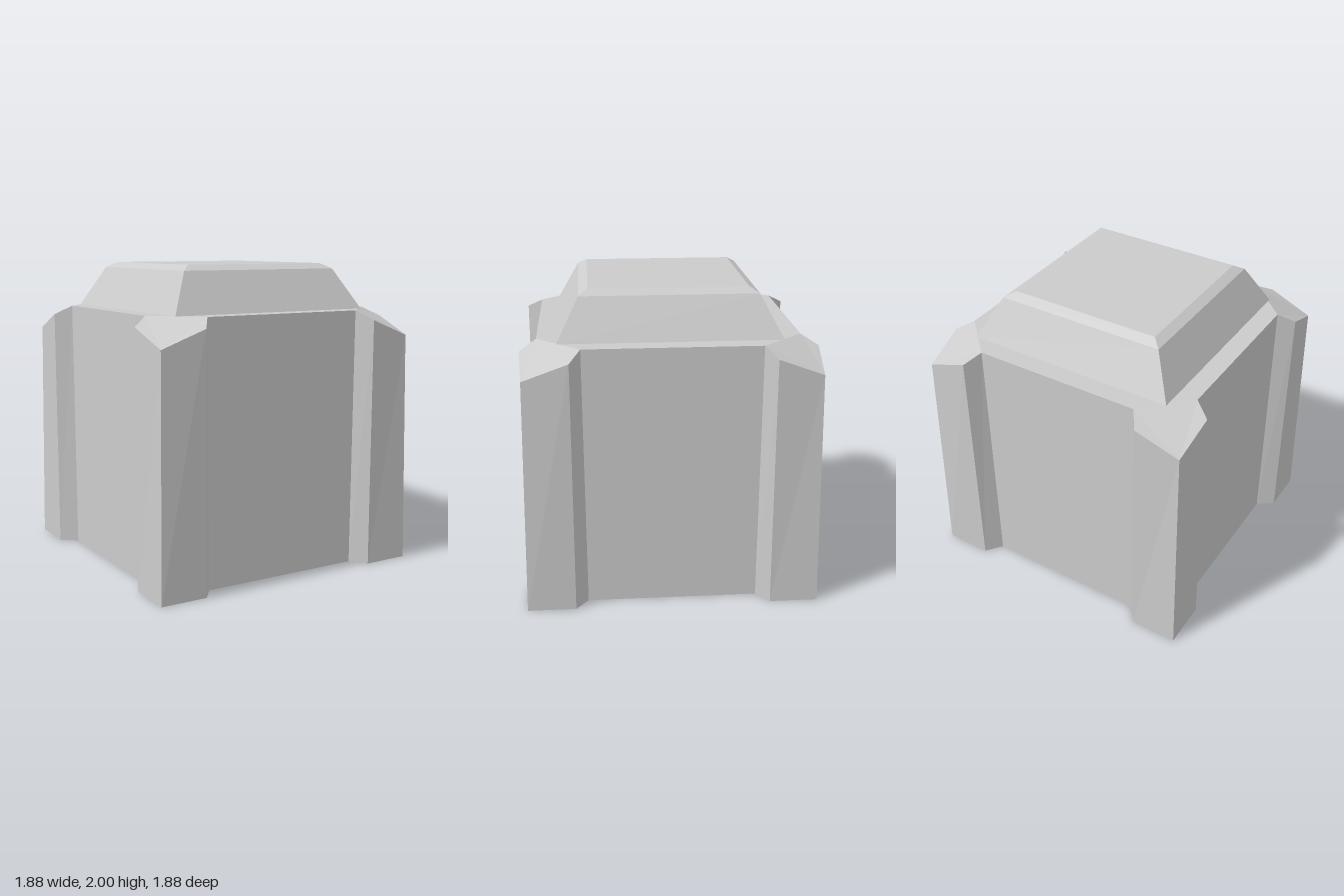
import * as THREE from 'three';

const material = new THREE.MeshStandardMaterial({ color: 0xcccccc, flatShading: true });

// Flat-shaded mesh from convex polygons, corners counter-clockwise from outside
function polygonMesh(name, polygons) {
  const pos = [];
  for (const p of polygons) {
    for (let i = 1; i < p.length - 1; i++) pos.push(...p[0], ...p[i], ...p[i + 1]);
  }
  const geo = new THREE.BufferGeometry();
  geo.setAttribute('position', new THREE.Float32BufferAttribute(pos, 3));
  geo.computeVertexNormals();
  const mesh = new THREE.Mesh(geo, material);
  mesh.name = name;
  return mesh;
}

// Square frustum given by half widths
function frustum(name, bottom, top, y0, y1) {
  const geo = new THREE.CylinderGeometry(top * Math.SQRT2, bottom * Math.SQRT2, y1 - y0, 4, 1);
  geo.rotateY(Math.PI / 4);
  const mesh = new THREE.Mesh(geo, material);
  mesh.name = name;
  mesh.position.y = (y0 + y1) / 2;
  return mesh;
}

// Quarter turns about y
const turn = ([x, y, z], n) => (n === 0 ? [x, y, z] : turn([z, y, -x], n - 1));

export function createModel() {
  const group = new THREE.Group();
  group.name = 'block';

  // One corner post outline, at the ground and along its sloped top
  const low = [[0.55, 0, 0.835], [0.63, 0, 0.94], [0.94, 0, 0.94], [0.94, 0, 0.63], [0.835, 0, 0.55]];
  const high = [[0.56, 1.7, 0.835], [0.63, 1.64, 0.94], [0.92, 1.53, 0.92], [0.94, 1.64, 0.63], [0.835, 1.7, 0.56]];

  const bottomRing = [], topRing = [], deck = [], walls = [], slopes = [];
  for (let n = 0; n < 4; n++) {
    const t = high.map((p) => turn(p, n));
    bottomRing.push(...low.map((p) => turn(p, n)));
    topRing.push(...t);
    deck.push(t[0], t[4]);
    slopes.push([t[2], t[3], t[4], t[0], t[1]]);
  }
  const count = bottomRing.length;
  for (let i = 0; i < count; i++) {
    const j = (i + 1) % count;
    walls.push([bottomRing[i], bottomRing[j], topRing[j], topRing[i]]);
  }

  // Underside: a fan around the middle
  const underside = bottomRing.map((p, i) => [[0, 0, 0], bottomRing[(i + 1) % count], p]);

  group.add(
    polygonMesh('bodyWalls', walls),
    polygonMesh('cornerPostTops', slopes),
    polygonMesh('deck', [deck]),
    polygonMesh('underside', underside),
    // Raised cap with a bevelled rim
    frustum('cap', 0.707, 0.567, 1.7, 1.965),
    frustum('capBevel', 0.567, 0.507, 1.965, 2.0)
  );
  return group;
}
